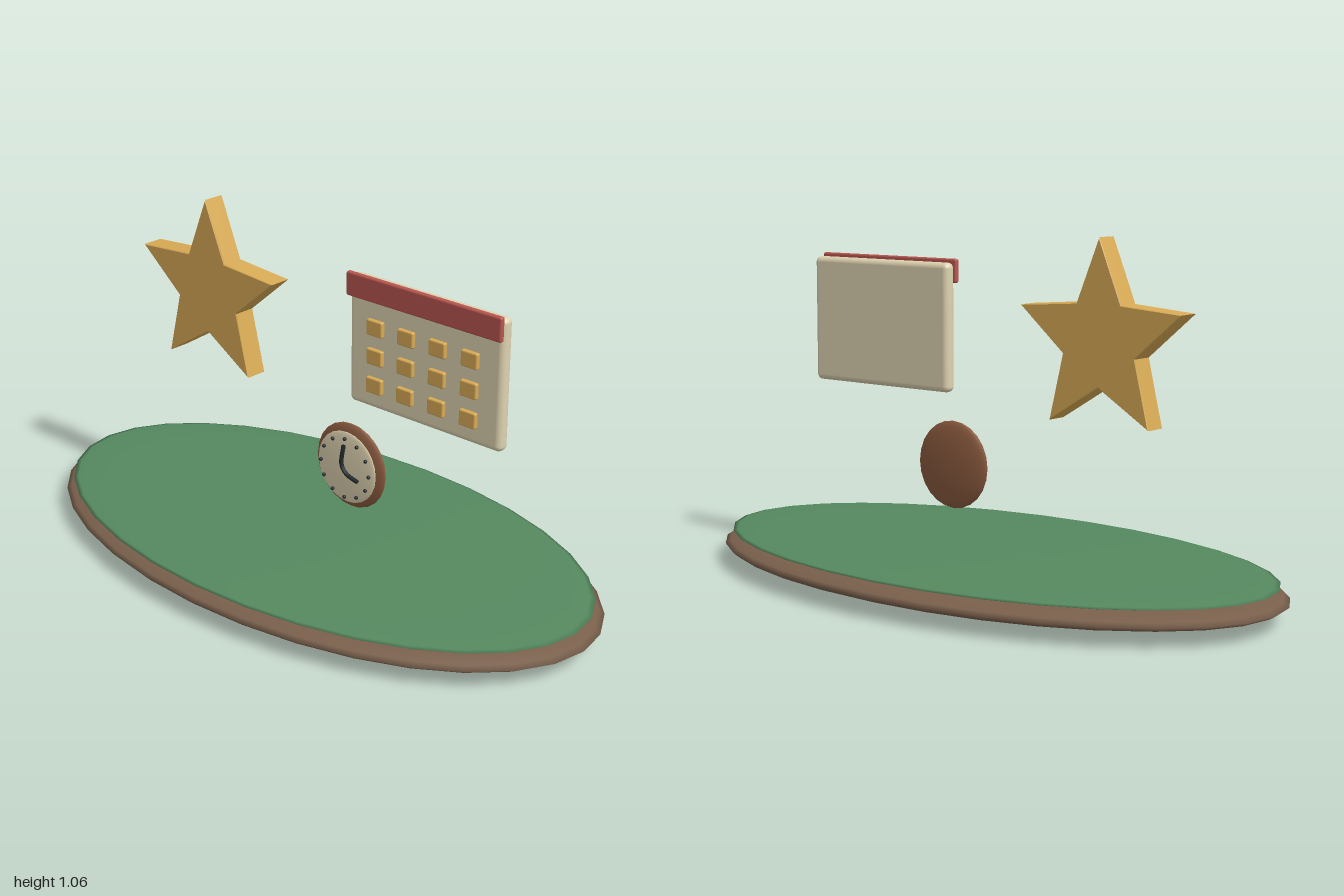
import * as THREE from 'three';
import { RoundedBoxGeometry } from 'three/addons/geometries/RoundedBoxGeometry.js';

const mat = (color) => new THREE.MeshStandardMaterial({ color });
const gold = mat(0xd9ab55);
const cream = mat(0xded2b0);
const red = mat(0xb9564f);
const darkWood = mat(0x7a604c);
const clockWood = mat(0x8a5a3e);
const green = mat(0x55895f);
const dark = mat(0x242c2e);

function add(parent, name, geometry, material, x = 0, y = 0, z = 0) {
  const mesh = new THREE.Mesh(geometry, material);
  mesh.name = name;
  mesh.position.set(x, y, z);
  parent.add(mesh);
  return mesh;
}

// Sphere squashed to three radii
const ellipsoid = (rx, ry, rz, w = 32, h = 16) =>
  new THREE.SphereGeometry(1, w, h).scale(rx, ry, rz);

function makeStar() {
  const shape = new THREE.Shape();
  for (let i = 0; i < 10; i++) {
    const r = i % 2 ? 0.132 : 0.294;
    const a = Math.PI / 2 + (i * Math.PI) / 5;
    shape[i ? 'lineTo' : 'moveTo'](r * Math.cos(a), r * Math.sin(a));
  }
  shape.closePath();
  const bevel = 0.003;
  return new THREE.ExtrudeGeometry(shape, {
    depth: 0.072 - 2 * bevel,
    bevelThickness: bevel,
    bevelSize: bevel,
    bevelOffset: -bevel,
    bevelSegments: 1,
  }).translate(0, 0, bevel - 0.036);
}

function makeCalendar() {
  const calendar = new THREE.Group();
  calendar.name = 'calendar';
  add(calendar, 'calendarBoard', new RoundedBoxGeometry(0.555, 0.394, 0.042, 4, 0.018), cream, 0, 0, 0);
  add(calendar, 'calendarHeader', new RoundedBoxGeometry(0.555, 0.073, 0.017, 3, 0.006), red, 0, 0.171, 0.029);
  // Grid of day tiles
  const tile = new RoundedBoxGeometry(0.058, 0.048, 0.016, 2, 0.005);
  for (let row = 0; row < 3; row++) {
    for (let col = 0; col < 4; col++) {
      add(calendar, 'dayTile', tile, gold, (col - 1.5) * 0.114, 0.058 - row * 0.0885, 0.029);
    }
  }
  return calendar;
}

function makeClock() {
  const clock = new THREE.Group();
  clock.name = 'clock';
  add(clock, 'clockCase', ellipsoid(0.135, 0.135, 0.022, 24, 12), clockWood);
  add(clock, 'clockFace', ellipsoid(0.114, 0.114, 0.009, 24, 12), cream, 0, 0, 0.02);
  // Hour markers
  const marker = new THREE.SphereGeometry(0.006, 8, 6);
  for (let i = 0; i < 12; i++) {
    const a = (i * Math.PI) / 6;
    add(clock, 'hourMarker', marker, dark, 0.095 * Math.sin(a), 0.095 * Math.cos(a), 0.031);
  }
  // Both hands bent from one rod
  const path = new THREE.CatmullRomCurve3([
    new THREE.Vector3(0.001, 0.076, 0),
    new THREE.Vector3(-0.006, 0.012, 0),
    new THREE.Vector3(0.012, -0.012, 0),
    new THREE.Vector3(0.057, -0.026, 0),
  ]);
  const handMaterial = dark.clone();
  handMaterial.side = THREE.DoubleSide;
  add(clock, 'clockHands', new THREE.TubeGeometry(path, 24, 0.0065, 8), handMaterial, 0, 0, 0.037);
  return clock;
}

export function createModel() {
  const model = new THREE.Group();
  model.name = 'displayBase';

  // Oval base with a thin green top
  add(model, 'base', ellipsoid(1, 0.059, 0.545), darkWood, 0, 0.06, 0);
  add(model, 'baseTop', ellipsoid(0.97, 0.019, 0.525), green, 0, 0.103, 0);

  add(model, 'star', makeStar(), gold, -0.43, 0.767, 0);

  const calendar = makeCalendar();
  calendar.position.set(0.421, 0.767, 0);
  model.add(calendar);

  const clock = makeClock();
  clock.position.set(0.137, 0.35, 0);
  model.add(clock);

  return model;
}
